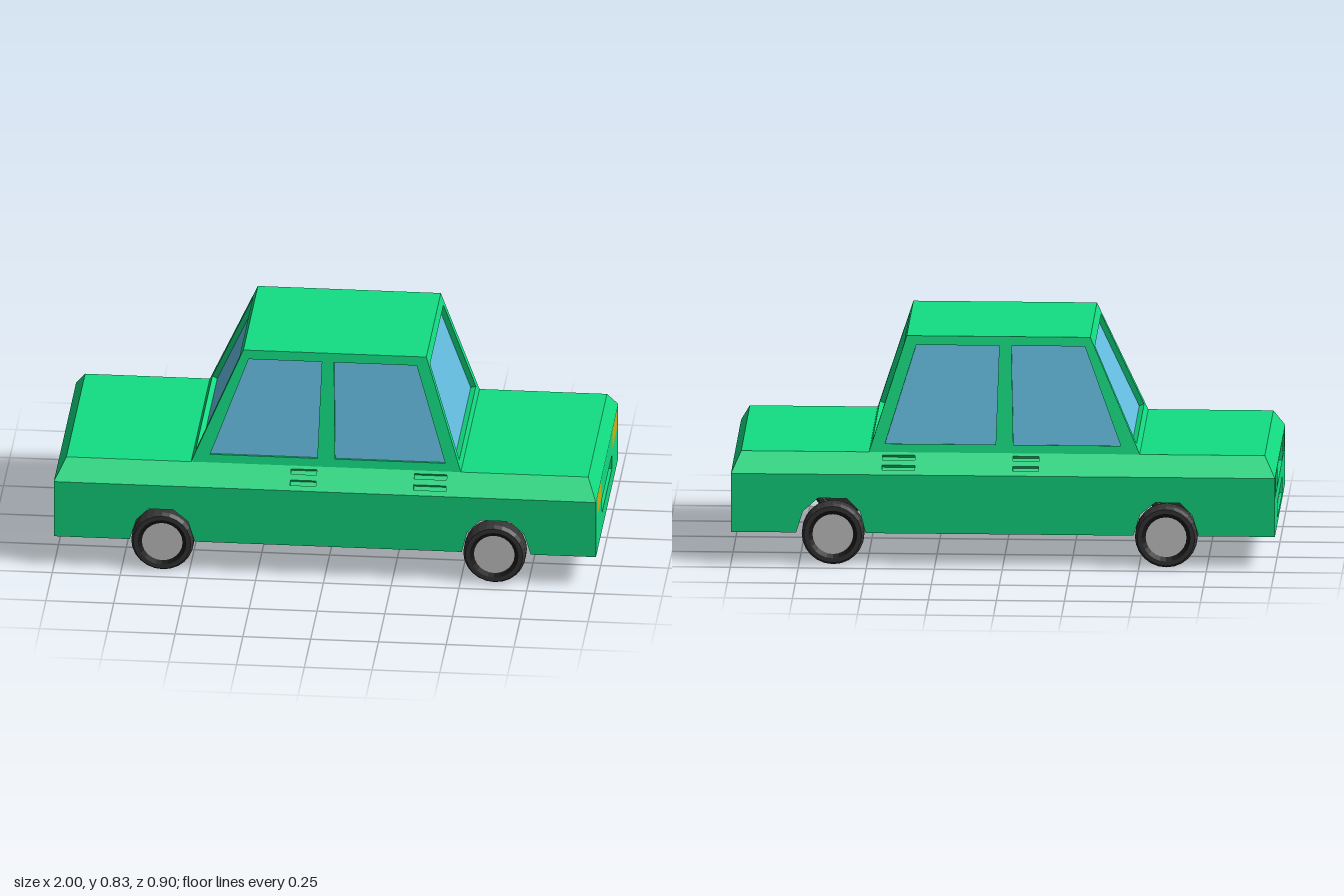
import * as THREE from 'three';

const mat = (color) => new THREE.MeshStandardMaterial({ color, flatShading: true });
const GREEN = mat(0x12dd82), GLASS = mat(0x66c0e4), AMBER = mat(0xd6b210);
const GREY = mat(0xcccccc), BLACK = mat(0x080808), TYRE = mat(0x363636), RIM = mat(0x181818);

// Geometry from a list of four-cornered faces
function quads(list) {
  const pos = list.flatMap(([a, b, c, d]) => [a, b, c, a, c, d].flat());
  const g = new THREE.BufferGeometry();
  g.setAttribute('position', new THREE.Float32BufferAttribute(pos, 3));
  g.computeVertexNormals();
  return g;
}

// Flat, optionally leaning body panel with sunken pockets.
// Points are [across, height]; the plane lies at distance d0 at height y0 and d1 at y1.
function panel(name, angle, [y0, y1, d0, d1], outline, pockets = []) {
  const group = new THREE.Group();
  group.name = name;
  const n = new THREE.Vector3(0, d0 - d1, y1 - y0).normalize();
  const lift = ([u, y], depth = 0) =>
    [u, y - n.y * depth, d0 + (d1 - d0) * (y - y0) / (y1 - y0) - n.z * depth];
  const face = (pts, holes, depth, material, label) => {
    const v = (p) => new THREE.Vector2(...p);
    const shape = new THREE.Shape(pts.map(v));
    shape.holes = holes.map((h) => new THREE.Path(h.map(v)));
    const g = new THREE.ShapeGeometry(shape);
    const p = g.attributes.position;
    for (let i = 0; i < p.count; i++) p.setXYZ(i, ...lift([p.getX(i), p.getY(i)], depth));
    g.computeVertexNormals();
    const mesh = new THREE.Mesh(g, material);
    mesh.name = label;
    group.add(mesh);
  };
  face(outline, pockets.map((k) => k.pts), 0, GREEN, name + 'Skin');
  for (const { pts, depth, material, label } of pockets) {
    face(pts, [], depth, material, label);
    if (!depth) continue;
    const ring = THREE.ShapeUtils.isClockWise(pts.map(([x, y]) => ({ x, y }))) ? [...pts].reverse() : pts;
    const walls = new THREE.Mesh(quads(ring.map((a, i) => {
      const b = ring[(i + 1) % ring.length];
      return [lift(a), lift(b), lift(b, depth), lift(a, depth)];
    })), GREEN);
    walls.name = label + 'Frame';
    group.add(walls);
  }
  group.rotation.y = angle;
  return group;
}

const rect = (u0, u1, y0, y1) => [[u0, y0], [u1, y0], [u1, y1], [u0, y1]];
const pocket = (label, material, depth, pts) => ({ label, material, depth, pts });

// Wheel turned around z, outer face towards +z
function wheel(name, x, side) {
  const g = new THREE.Group();
  g.name = name;
  const lathe = (pts, material, label) => {
    const geo = new THREE.LatheGeometry(pts.map((p) => new THREE.Vector2(...p)), 24);
    const mesh = new THREE.Mesh(geo.rotateX(Math.PI / 2), material);
    mesh.name = label;
    g.add(mesh);
  };
  lathe([[0, -0.03], [0.085, -0.03], [0.09, -0.04], [0.106, -0.04], [0.115, -0.03],
    [0.115, 0.022], [0.106, 0.038], [0.09, 0.038]], TYRE, 'tyre');
  lathe([[0.09, 0.038], [0.075, 0.03]], RIM, 'rim');
  lathe([[0.075, 0.03], [0, 0.03]], GREY, 'hubcap');
  g.position.set(x, 0.115, side * 0.41);
  if (side < 0) g.rotation.y = Math.PI;
  return g;
}

export function createModel() {
  const car = new THREE.Group();
  car.name = 'car';
  const add = (name, geometry) => {
    const m = new THREE.Mesh(geometry, GREEN);
    m.name = name;
    car.add(m);
  };

  // Lower edge of the body with both wheel arches, running along x
  const archA = [[-0.72, 0.12], [-0.695, 0.2], [-0.65, 0.245], [-0.56, 0.245], [-0.505, 0.2], [-0.48, 0.12]];
  const archB = [[0.505, 0.12], [0.525, 0.2], [0.575, 0.25], [0.68, 0.25], [0.735, 0.2], [0.76, 0.12]];
  const sill = [[-1, 0.12], ...archA, ...archB, [1, 0.12]];
  add('underbody', quads(sill.slice(1).map(([x, y], i) => {
    const [px, py] = sill[i];
    return [[px, py, -0.44], [x, y, -0.44], [x, y, 0.44], [px, py, 0.44]];
  })));

  // Long sides: lower body, shoulder with handle slots, cabin with two windows
  for (const s of [1, -1]) {
    const label = s > 0 ? 'front' : 'back', angle = s > 0 ? 0 : Math.PI;
    const m = (pts) => pts.map(([x, y]) => [s * x, y]);
    car.add(panel(label + 'LowerSide', angle, [0.12, 0.34, 0.44, 0.44], m([...sill, [1, 0.34], [-1, 0.34]])));
    const slots = [[-0.13, -0.035], [0.325, 0.445]].flatMap(([a, b]) =>
      [[0.355, 0.37], [0.386, 0.401]].map(([lo, hi]) =>
        pocket('handleSlot', GREEN, 0.015, m(rect(a, b, lo, hi)))));
    car.add(panel(label + 'Shoulder', angle, [0.34, 0.41, 0.44, 0.37],
      m([[-1, 0.34], [1, 0.34], [0.965, 0.41], [-0.96, 0.41]]), slots));
    car.add(panel(label + 'CabinSide', angle, [0.41, 0.83, 0.37, 0.285],
      m([[-0.5, 0.41], [0.495, 0.41], [0.36, 0.83], [-0.315, 0.83]]), [
        pocket('sideWindow', GLASS, 0.015, m([[-0.43, 0.44], [-0.035, 0.44], [-0.025, 0.797], [-0.295, 0.797]])),
        pocket('sideWindow', GLASS, 0.015, m([[0.03, 0.44], [0.437, 0.44], [0.325, 0.797], [0.02, 0.797]])),
      ]));
  }

  // Ends: lights, plate, sloping lip and the big cabin window
  const tail = [
    pocket('plate', GREY, 0.025, rect(-0.195, 0.195, 0.19, 0.245)),
    ...[-1, 1].map((k) => pocket('amberLight', AMBER, 0, rect(k * 0.22, k * 0.385, 0.262, 0.333))),
  ];
  const nose = [
    pocket('plate', GREY, 0.01, rect(-0.2, 0.2, 0.14, 0.2)),
    pocket('grille', BLACK, 0.02, rect(-0.2, 0.2, 0.262, 0.333)),
    ...[-1, 1].flatMap((k) => [
      pocket('headlight', GREY, 0.01, rect(k * 0.22, k * 0.36, 0.262, 0.333)),
      pocket('turnSignal', AMBER, 0.01, rect(k * 0.368, k * 0.425, 0.262, 0.333)),
    ]),
  ];
  const ends = [
    ['left', Math.PI / 2, 0.965, 0.495, 0.36, tail],
    ['right', -Math.PI / 2, 0.96, 0.5, 0.315, nose],
  ];
  for (const [label, angle, lip, base, top, details] of ends) {
    car.add(panel(label + 'End', angle, [0.12, 0.34, 1, 1], rect(-0.44, 0.44, 0.12, 0.34), details));
    car.add(panel(label + 'Lip', angle, [0.34, 0.41, 1, lip],
      [[-0.44, 0.34], [0.44, 0.34], [0.37, 0.41], [-0.37, 0.41]]));
    car.add(panel(label + 'CabinEnd', angle, [0.41, 0.83, base, top],
      [[-0.37, 0.41], [0.37, 0.41], [0.285, 0.83], [-0.285, 0.83]],
      [pocket('windscreen', GLASS, 0.02, [[-0.327, 0.44], [0.327, 0.44], [0.262, 0.793], [-0.262, 0.793]])]));
  }

  // Level panels: roof and the two decks
  const level = (name, x0, x1, y, z) =>
    add(name, quads([[[x0, y, z], [x1, y, z], [x1, y, -z], [x0, y, -z]]]));
  level('roof', -0.315, 0.36, 0.83, 0.285);
  level('rightDeck', -0.96, -0.5, 0.41, 0.37);
  level('leftDeck', 0.495, 0.965, 0.41, 0.37);

  // Wheels
  for (const s of [1, -1]) {
    car.add(wheel(s > 0 ? 'frontRightWheel' : 'backRightWheel', -0.6, s));
    car.add(wheel(s > 0 ? 'frontLeftWheel' : 'backLeftWheel', 0.625, s));
  }
  return car;
}
